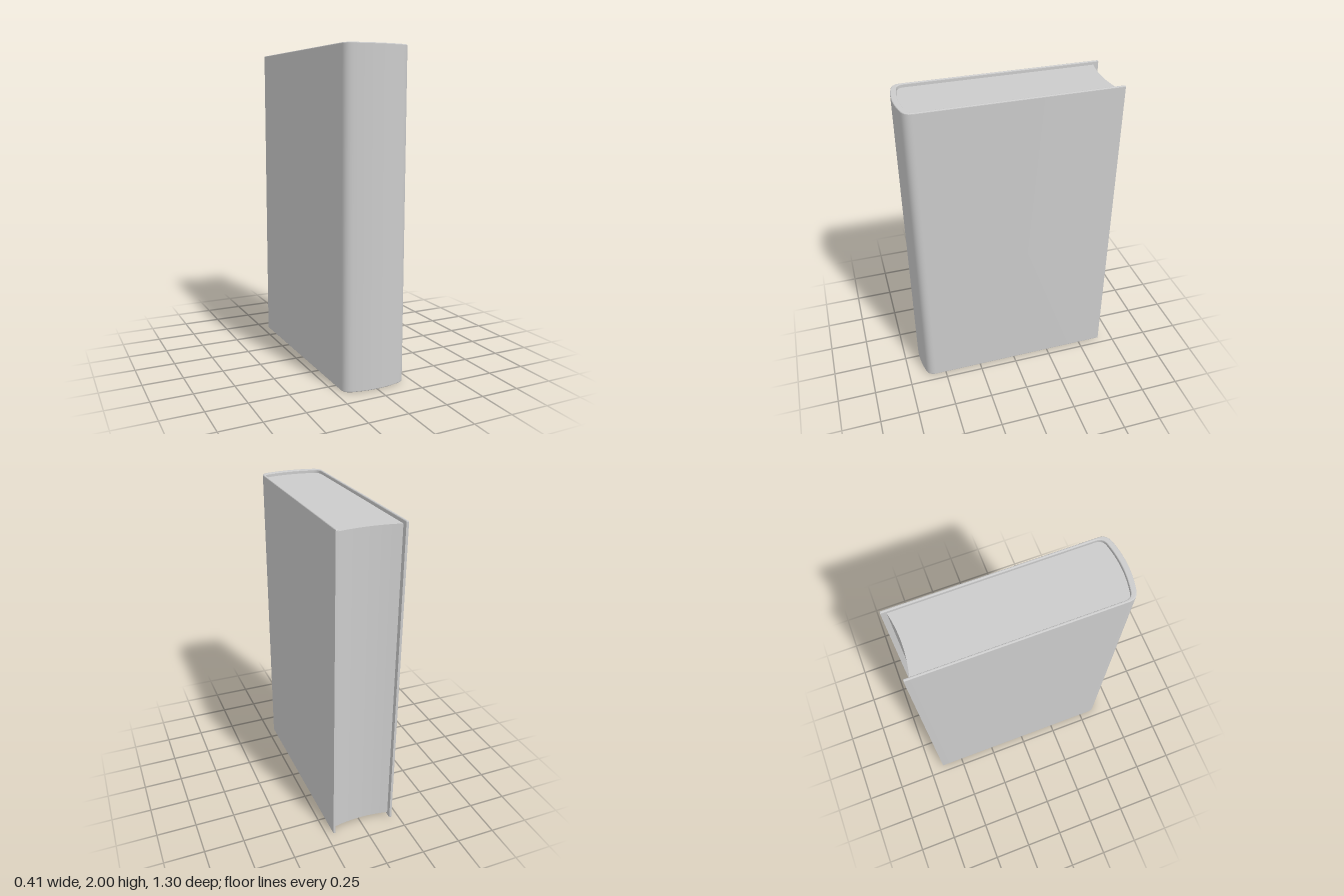
import * as THREE from 'three';
import { toCreasedNormals } from 'three/addons/utils/BufferGeometryUtils.js';

const HEIGHT = 2;
const PAGE_INSET = 0.022;
const BEVEL = 0.006;
const BACK = -0.652;

// Plan outlines are drawn with shape y = z of the model.
// Rounded spine from the +x side to the -x side, then optionally reversed.
function spinePoints(x, shoulderZ, cornerX, cornerZ, controlZ) {
  const peak = new THREE.Vector2(0, controlZ);
  const kneeZ = cornerZ - (x - cornerX) * (controlZ - cornerZ) / cornerX;
  const v = (a, b) => new THREE.Vector2(a, b);
  const corner = new THREE.QuadraticBezierCurve(v(x, shoulderZ), v(x, kneeZ), v(cornerX, cornerZ)).getPoints(8);
  const crown = new THREE.QuadraticBezierCurve(v(cornerX, cornerZ), peak, v(-cornerX, cornerZ)).getPoints(16);
  const mirrored = corner.map((p) => v(-p.x, p.y)).reverse();
  return [...corner, ...crown.slice(1, -1), ...mirrored];
}

// Extrude a plan outline upwards from y0 to y1.
function extrudeUp(points, y0, y1, bevel) {
  const shape = new THREE.Shape(points.map((p) => new THREE.Vector2(p.x, -p.y)));
  const geometry = new THREE.ExtrudeGeometry(shape, {
    depth: y1 - y0 - 2 * bevel,
    bevelEnabled: bevel > 0,
    bevelSize: bevel,
    bevelThickness: bevel,
    bevelOffset: -bevel,
    bevelSegments: 3,
  });
  geometry.rotateX(-Math.PI / 2);
  geometry.translate(0, y0 + bevel, 0);
  return toCreasedNormals(geometry, 0.25);
}

export function createModel() {
  const group = new THREE.Group();
  group.name = 'book';
  const material = new THREE.MeshStandardMaterial({ color: 0xcccccc });
  const add = (name, geometry) => {
    const mesh = new THREE.Mesh(geometry, material);
    mesh.name = name;
    group.add(mesh);
  };

  const outer = spinePoints(0.205, 0.57, 0.155, 0.632, 0.672);
  const inner = spinePoints(0.19, 0.55, 0.15, 0.6, 0.636);
  const p = (x, z) => new THREE.Vector2(x, z);

  // Cover: two boards joined by the rounded spine
  add('cover', extrudeUp([
    p(0.205, BACK), ...outer, p(-0.205, BACK),
    p(-0.19, BACK), ...[...inner].reverse(), p(0.19, BACK),
  ], 0, HEIGHT, BEVEL));

  // Page block: follows the inside of the spine, with a hollow fore edge
  const foreEdge = new THREE.QuadraticBezierCurve(p(-0.19, -0.62), p(0, -0.576), p(0.19, -0.62)).getPoints(16);
  add('pages', extrudeUp([...inner, ...foreEdge], PAGE_INSET, HEIGHT - PAGE_INSET, 0));

  return group;
}
